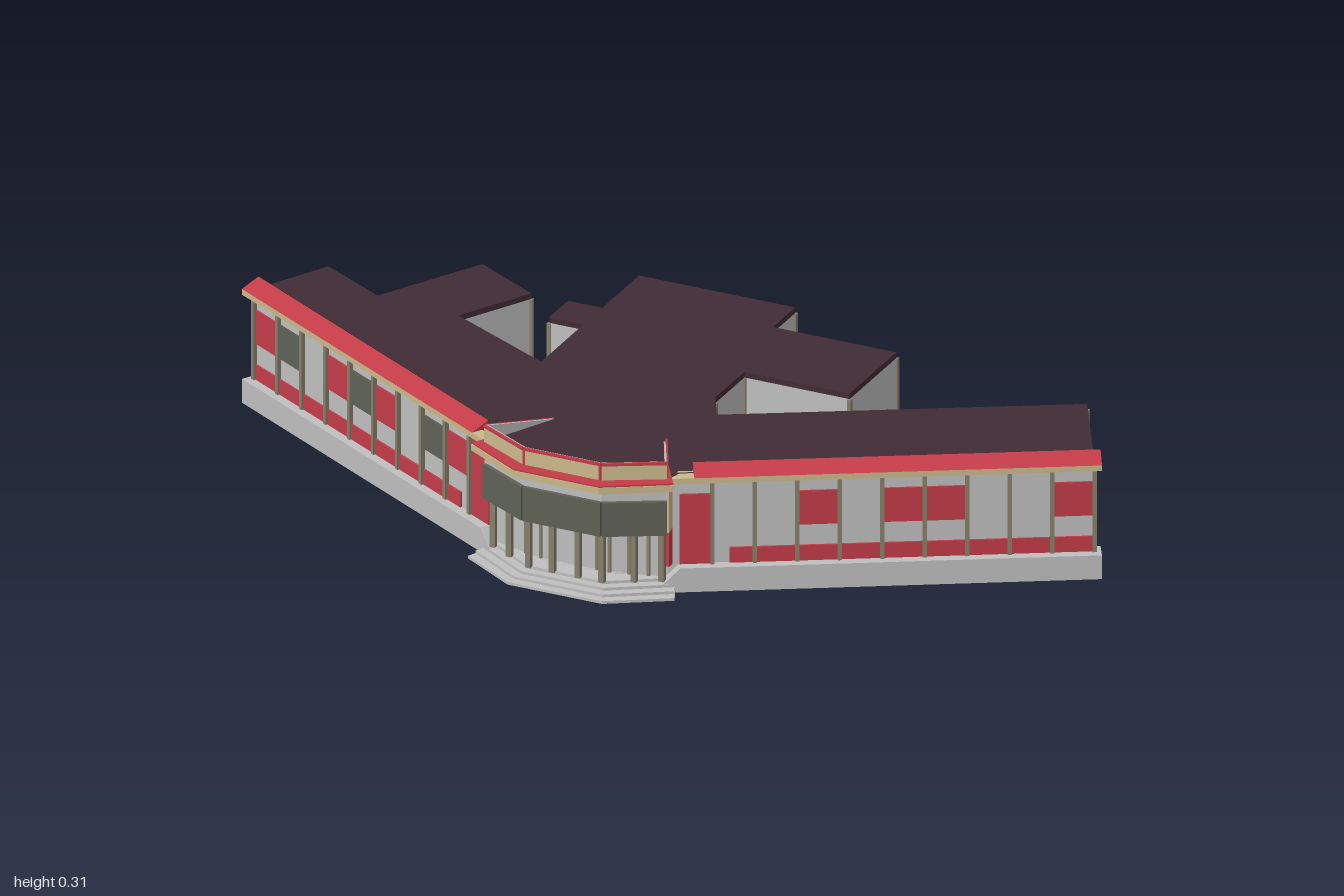
import * as THREE from 'three';

const mat = (name, color) => {
  const m = new THREE.MeshStandardMaterial({ color });
  m.name = name;
  return m;
};

export function createModel() {
  const wallGrey = mat('wall grey', 0xbfbfbf);
  const red = mat('panel red', 0xc23c48);
  const roofDark = mat('roof brown', 0x412c34);
  const tan = mat('trim tan', 0xcbb98c);
  const olive = mat('mullion olive', 0x85816a);
  const darkGrey = mat('dark panel grey', 0x5f6256);

  const model = new THREE.Group();
  model.name = 'wingedBuilding';

  const add = (parent, name, geo, material) => {
    const m = new THREE.Mesh(geo, material);
    m.name = name;
    parent.add(m);
    return m;
  };
  const box = (parent, name, w, h, d, x, y, z, material) => {
    const m = add(parent, name, new THREE.BoxGeometry(w, h, d), material);
    m.position.set(x, y, z);
    return m;
  };
  const shapeOf = (pts) => new THREE.Shape(pts.map((p) => new THREE.Vector2(p[0], p[1])));
  // Flat slab from a plan outline of [x, z] points
  const slab = (name, plan, y0, y1, material) => {
    const geo = new THREE.ExtrudeGeometry(shapeOf(plan.map(([x, z]) => [x, -z])),
      { depth: y1 - y0, bevelEnabled: false });
    geo.rotateX(-Math.PI / 2);
    geo.translate(0, y0, 0);
    return add(model, name, geo, material);
  };
  // Upright plate from plan point a to b; its top may slope
  const plate = (name, a, b, y0, ya, yb, out, thick, material) => {
    const dx = b[0] - a[0], dz = b[1] - a[1], len = Math.hypot(dx, dz);
    const geo = new THREE.ExtrudeGeometry(shapeOf([[0, y0], [len, y0], [len, yb], [0, ya]]),
      { depth: thick, bevelEnabled: false });
    geo.translate(0, 0, out);
    const m = add(model, name, geo, material);
    m.position.set(a[0], 0, a[1]);
    m.rotation.y = Math.atan2(-dz, dx);
    return m;
  };
  // Mirrors a right-hand run of points to close a symmetric outline
  const mirrored = (pts) => [...pts, ...pts.map(([x, z]) => [-x, z]).reverse()];

  // Main volume: back outline running from the left tip to the right tip
  const back = [
    [0.975, -0.085], [0.84, -0.33], [0.165, 0.055], [0.125, -0.02], [0.125, -0.16],
    [0.37, -0.16], [0.37, -0.385], [0.083, -0.385], [0.083, -0.492], [-0.28, -0.492],
    [-0.28, -0.315], [-0.36, -0.315], [-0.36, -0.225], [-0.28, -0.225], [-0.28, -0.02],
    [-0.535, -0.15], [-0.445, -0.315], [-0.6, -0.4], [-0.73, -0.165], [-0.885, -0.25],
    [-0.975, -0.085],
  ];
  const entry = [[-0.22, 0.35], [-0.2, 0.362], [-0.08, 0.395], [0.08, 0.395], [0.2, 0.362], [0.22, 0.35]];
  slab('mainWalls', [...back, ...entry], 0.025, 0.25, wallGrey);
  const bay = [[-0.21, 0.39], [-0.09, 0.455], [0.09, 0.455], [0.21, 0.39]];
  slab('mainRoof', [...back, [-0.22, 0.35], ...bay, [0.22, 0.35]], 0.25, 0.263, roofDark);

  // Thin pilasters at the rear corners
  back.slice(1, -1).forEach(([x, z]) =>
    box(model, 'rearPilaster', 0.009, 0.224, 0.009, x, 0.1375, z, olive));

  // Wings: local x runs along the facade, local z points outward
  const L = 0.872, first = 0.0693, n = 9, step = (L - first) / n;
  const strip = (parent, name, s, u0, u1, profile, material) => {
    const geo = new THREE.ExtrudeGeometry(shapeOf(profile.map(([v, y]) => [-v, y])),
      { depth: u1 - u0, bevelEnabled: false });
    geo.rotateY(Math.PI / 2);
    geo.translate(s > 0 ? u0 : -u1, 0, 0);
    return add(parent, name, geo, material);
  };
  for (const [s, pattern] of [[1, 'llrlrrllr'], [-1, 'rdlrdrldr']]) {
    const wing = new THREE.Group();
    wing.name = s > 0 ? 'leftWingFront' : 'rightWingFront';
    wing.position.set(s * 0.22, 0, 0.3505);
    wing.rotation.y = s * Math.PI / 6;
    model.add(wing);

    const panel = (name, u0, u1, y0, y1, m) =>
      box(wing, name, u1 - u0, y1 - y0, 0.006, s * (u0 + u1) / 2, (y0 + y1) / 2, 0.001, m);
    panel('entrancePanel', 0, first, 0.055, s > 0 ? 0.216 : 0.25, red);
    panel('lowerBand', 0.105, L, 0.055, 0.09, red);
    [...pattern].forEach((c, i) => {
      if (c === 'l') return;
      panel('windowPanel', first + i * step, first + (i + 1) * step, 0.138, 0.216,
        c === 'r' ? red : darkGrey);
    });
    for (let i = 0; i <= n; i++) {
      box(wing, 'mullion', 0.009, 0.195, 0.014, s * (first + i * step), 0.1525, 0.002, olive);
    }
    // Plinth, eave and sloping fascia
    strip(wing, 'plinth', s, 0.0, L + 0.014,
      [[-0.02, 0], [0.0255, 0], [0.0255, 0.055], [-0.02, 0.055]], wallGrey);
    strip(wing, 'eave', s, -0.02, L + 0.014,
      [[-0.012, 0.25], [0.0255, 0.25], [0.0255, 0.263], [-0.012, 0.263]], tan);
    strip(wing, 'fascia', s, 0.03, L + 0.014,
      [[-0.016, 0.263], [0.0255, 0.263], [-0.016, 0.281]], red);
    strip(wing, 'fasciaBack', s, 0.03, L + 0.013,
      [[-0.02, 0.26], [-0.016, 0.26], [-0.016, 0.281], [-0.02, 0.279]], roofDark);
    // Sloping cheek beside the steps
    const cheek = new THREE.ExtrudeGeometry(
      shapeOf([[0, 0], [s * -0.045, 0], [s * -0.045, 0.01], [0, 0.055]]), { depth: 0.045, bevelEnabled: false });
    cheek.translate(0, 0, -0.0195);
    add(wing, 'stepCheek', cheek, wallGrey);
  }

  // Entrance steps
  for (let i = 0; i < 4; i++) {
    const e = i * 0.018;
    slab('step', mirrored([[0.19, 0.3], [0.24 - e * 0.5, 0.415 - e], [0.11 - e * 0.4, 0.495 - e]]),
      0.0063 * i, 0.0063 * (i + 1), wallGrey);
  }
  slab('underBase', mirrored([[0.14, 0.3], [0.22, 0.345], [0.08, 0.4]]), 0, 0.026, wallGrey);

  // Projecting bay over the entrance
  slab('bayWall', [[-0.2, 0.345], ...bay, [0.2, 0.345]], 0.14, 0.25, wallGrey);
  plate('baySide', [-0.2, 0.345], bay[0], 0.14, 0.25, 0.25, -0.002, 0.007, tan);
  plate('baySide', bay[3], [0.2, 0.345], 0.14, 0.25, 0.25, -0.002, 0.007, tan);
  for (let i = 0; i < 3; i++) {
    plate('darkBand', bay[i], bay[i + 1], 0.138, 0.216, 0.216, 0, 0.009, darkGrey);
  }

  // Entrance posts and door mullions
  for (const s of [-1, 1]) {
    for (const [x, z] of [[0.03, 0.443], [0.085, 0.443], [0.145, 0.412], [0.196, 0.384]]) {
      box(model, 'entrancePost', 0.012, 0.118, 0.012, s * x, 0.083, z, olive);
    }
    for (const [x, z] of [[0.05, 0.395], [0.08, 0.395], [0.12, 0.384], [0.16, 0.373]]) {
      box(model, 'doorMullion', 0.006, 0.114, 0.008, s * x, 0.082, z, olive);
    }
    box(model, 'entranceSide', 0.008, 0.085, 0.03, s * 0.204, 0.0975, 0.36, red);
  }

  // Canopy slab with red top and raised roof
  const canopy = mirrored([[0.185, 0.33], [0.235, 0.41], [0.1, 0.49]]);
  slab('canopy', canopy, 0.249, 0.2635, tan);
  slab('canopyTop', canopy.map(([x, z]) => [x * 0.995, z - 0.002]), 0.2635, 0.267, red);
  slab('bayRoof', [[-0.12, 0.21], ...bay, [0.12, 0.21]], 0.262, 0.269, roofDark);

  // Parapet: tall front, sides sloping down to the roof
  for (let i = 0; i < 3; i++) {
    plate('parapet', bay[i], bay[i + 1], 0.262, 0.304, 0.304, 0, 0.005, tan);
    plate('parapetLining', bay[i], bay[i + 1], 0.262, 0.304, 0.304, -0.004, 0.004, wallGrey);
    plate('parapetCap', bay[i], bay[i + 1], 0.3, 0.306, 0.306, 0.001, 0.0055, red);
  }
  for (const [a, b, ya, yb] of [
    [[-0.12, 0.21], bay[0], 0.264, 0.305], [bay[3], [0.12, 0.21], 0.305, 0.264]]) {
    plate('parapetSide', a, b, 0.26, ya, yb, 0, 0.004, red);
    plate('parapetSideLining', a, b, 0.26, ya, yb, -0.004, 0.004, wallGrey);
  }
  for (const s of [-1, 1]) {
    box(model, 'parapetJoint', 0.005, 0.04, 0.005, s * 0.088, 0.284, 0.459, red);
  }

  // Small rear porches
  const porch = (x, z, angle) => {
    box(model, 'rearPorch', 0.085, 0.12, 0.06, x, 0.085, z, wallGrey).rotation.y = angle;
  };
  porch(0.53, -0.172, Math.PI / 6);
  porch(-0.765, -0.198, -Math.PI / 6);

  return model;
}
